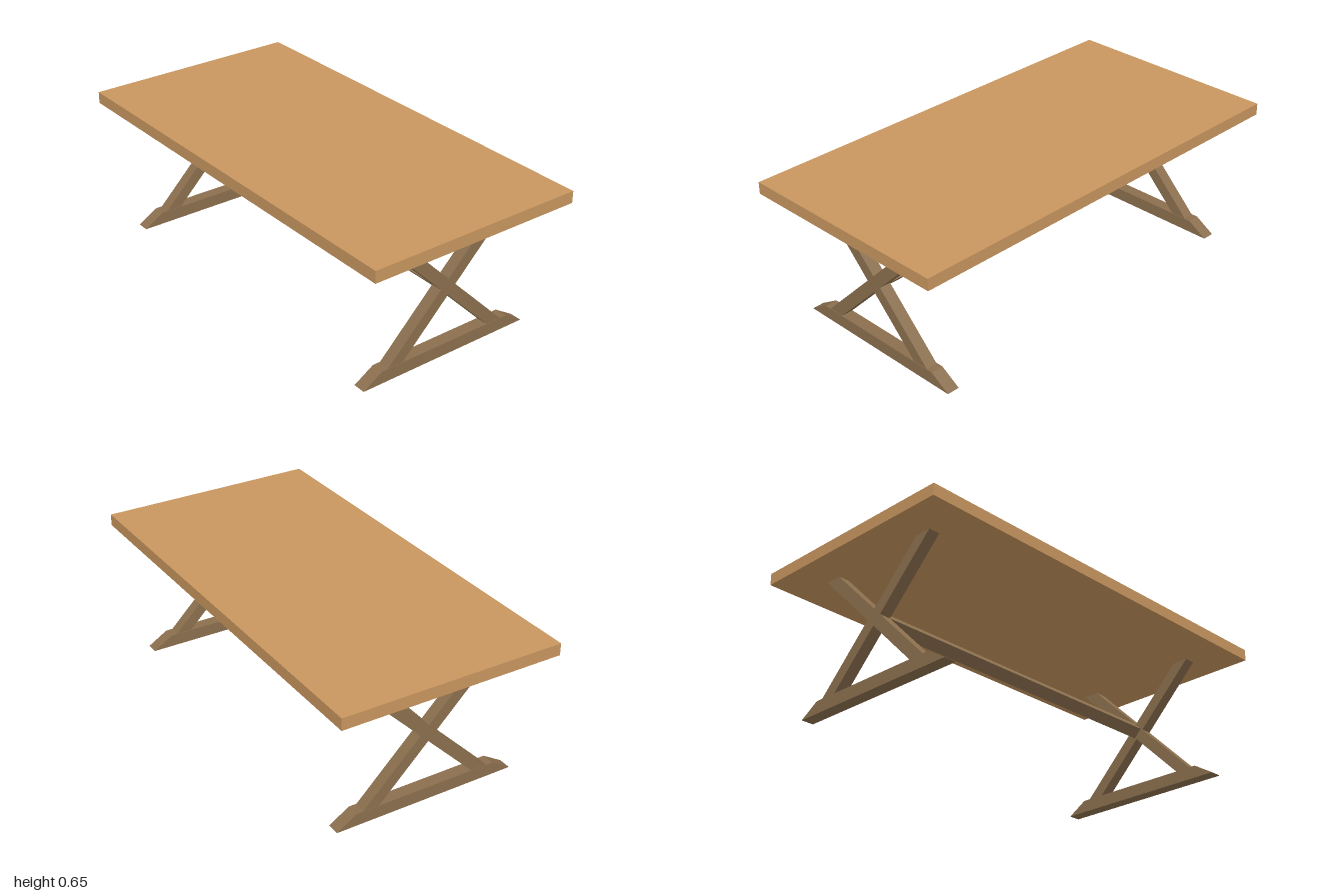
import * as THREE from 'three';

// Extrudes a [z, y] outline along x, from x0 to x1
function prism(name, outline, x0, x1, material) {
  const shape = new THREE.Shape(outline.map(([z, y]) => new THREE.Vector2(-z, y)));
  const geometry = new THREE.ExtrudeGeometry(shape, { depth: x1 - x0, bevelEnabled: false });
  geometry.rotateY(Math.PI / 2).translate(x0, 0, 0);
  const mesh = new THREE.Mesh(geometry, material);
  mesh.name = name;
  return mesh;
}

export function createModel() {
  const topWood = new THREE.MeshStandardMaterial({ color: 0xc8965f });
  topWood.name = 'light wood';
  const legWood = new THREE.MeshStandardMaterial({ color: 0x8b6f4e });
  legWood.name = 'dark wood';

  const table = new THREE.Group();
  table.name = 'trestleTable';

  // Table top
  const top = new THREE.Mesh(new THREE.BoxGeometry(2, 0.054, 1.016), topWood);
  top.name = 'tableTop';
  top.position.y = 0.628;
  table.add(top);

  // Crossed legs at 45 degrees, as one outline
  const cy = 0.322, h = 0.038, yTop = 0.601, yFoot = 0.057;
  const a = yTop - cy, b = cy - yFoot;
  const cross = [
    [h, cy], [a + h, yTop], [a - h, yTop], [0, cy + h],
    [-a + h, yTop], [-a - h, yTop], [-h, cy], [-b - h, yFoot],
    [-b + h, yFoot], [0, cy - h], [b - h, yFoot], [b + h, yFoot],
  ];
  // Foot with sloping ends
  const foot = [[-0.427, 0], [0.427, 0], [0.334, yFoot], [-0.334, yFoot]];

  for (const [side, s] of [['left', 1], ['right', -1]]) {
    const trestle = new THREE.Group();
    trestle.name = side + 'Trestle';
    const span = (inner, outer) => (s > 0 ? [inner, outer] : [-outer, -inner]);
    trestle.add(prism('crossedLegs', cross, ...span(0.792, 0.845), legWood));
    trestle.add(prism('foot', foot, ...span(0.789, 0.847), legWood));
    table.add(trestle);
  }

  // Stretcher bar, a square beam turned on edge
  const diamond = [[0, cy - h], [h, cy], [0, cy + h], [-h, cy]];
  table.add(prism('stretcher', diamond, -0.793, 0.779, legWood));

  return table;
}
